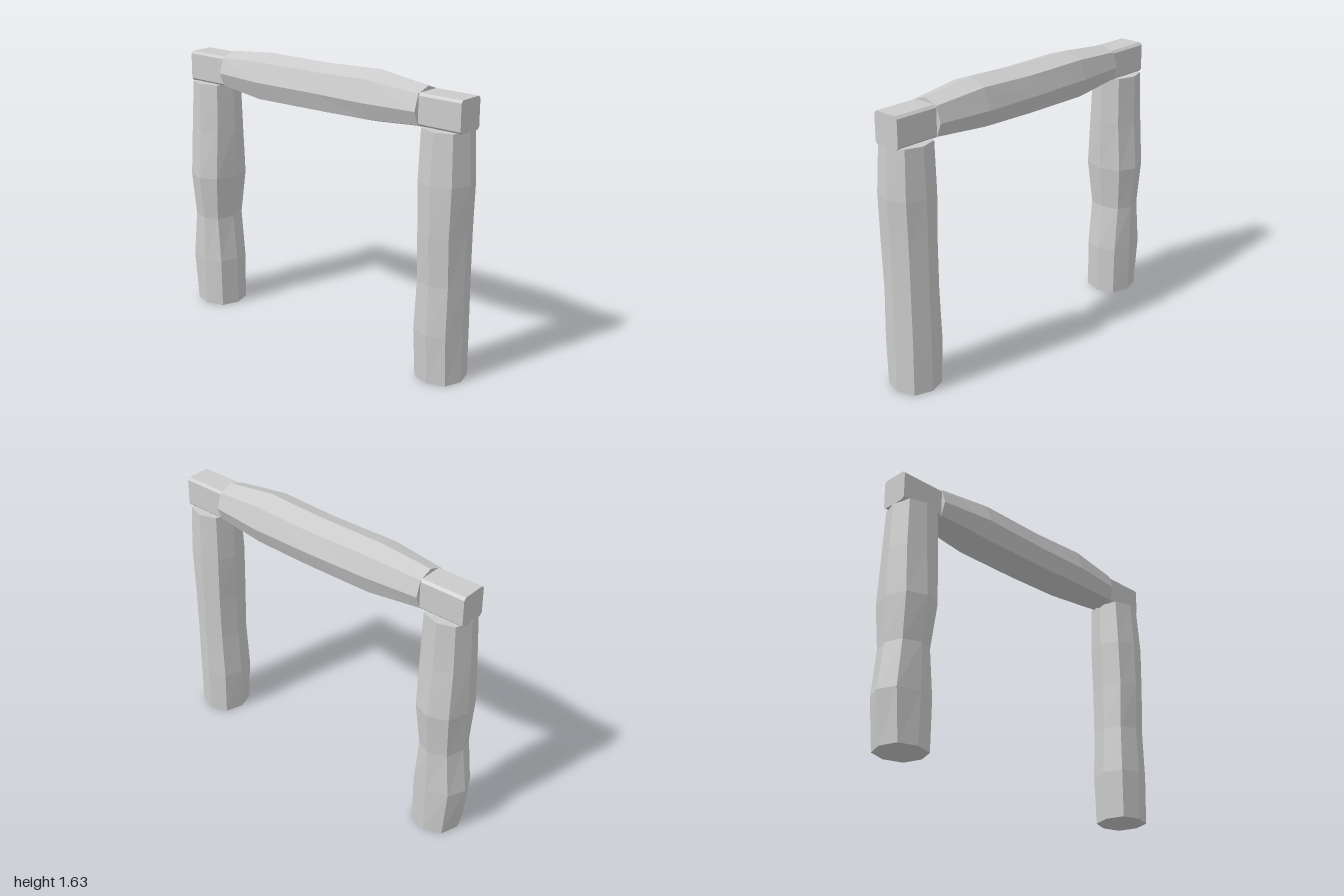
import * as THREE from 'three';

const material = new THREE.MeshStandardMaterial({ color: 0xcccccc, flatShading: true });
const SIDES = 8;

// Closed eight-sided loft. Each ring is [t, uMin, uMax, vMin, vMax];
// place(u, v, t) maps a section point into the model.
function loft(name, rings, vCentre, place) {
  const pos = [], idx = [];
  for (const [t, u0, u1, v0, v1] of rings) {
    for (let i = 0; i < SIDES; i++) {
      const a = (i / SIDES) * Math.PI * 2, c = Math.cos(a), s = Math.sin(a);
      const k = i % 2 ? 1.06 : 1; // slightly full corners, like hewn timber
      const u = k * (c > 0 ? c * u1 : -c * u0);
      const v = vCentre + k * (s > 0 ? s * (v1 - vCentre) : -s * (v0 - vCentre));
      pos.push(...place(u, v, t));
    }
  }
  for (let r = 0; r < rings.length - 1; r++) {
    for (let i = 0; i < SIDES; i++) {
      const a = r * SIDES + i, b = r * SIDES + (i + 1) % SIDES;
      const c = a + SIDES, d = b + SIDES;
      idx.push(b, a, c, b, c, d);
    }
  }
  // End caps
  const e = (rings.length - 1) * SIDES;
  for (let i = 1; i < SIDES - 1; i++) idx.push(0, i, i + 1, e, e + i + 1, e + i);
  const indexed = new THREE.BufferGeometry();
  indexed.setAttribute('position', new THREE.Float32BufferAttribute(pos, 3));
  indexed.setIndex(idx);
  const geo = indexed.toNonIndexed();
  geo.computeVertexNormals();
  const mesh = new THREE.Mesh(geo, material);
  mesh.name = name;
  return mesh;
}

// Squared beam end with small chamfers, running from z0 to z1
function tenon(name, z0, z1) {
  const w = 0.083, y0 = 1.387, y1 = 1.563, b = 0.014;
  const shape = new THREE.Shape([
    [-w + b, y0], [w - b, y0], [w, y0 + b], [w, y1 - b],
    [w - b, y1], [-w + b, y1], [-w, y1 - b], [-w, y0 + b],
  ].map(([x, y]) => new THREE.Vector2(x, y)));
  const geo = new THREE.ExtrudeGeometry(shape, { depth: z1 - z0, bevelEnabled: false });
  geo.translate(0, 0, z0);
  const mesh = new THREE.Mesh(geo, material);
  mesh.name = name;
  return mesh;
}

export function createModel() {
  const group = new THREE.Group();
  group.name = 'timberFrame';
  const upright = (u, v, t) => [u, t, v];
  const lengthwise = (u, v, t) => [u, v, t];

  // Posts, from the ground up
  group.add(loft('frontPost', [
    [0, -0.135, 0.14, 0.72, 0.99],
    [0.28, -0.148, 0.143, 0.708, 0.988],
    [0.56, -0.138, 0.14, 0.722, 0.988],
    [0.83, -0.152, 0.14, 0.724, 0.99],
    [1.11, -0.152, 0.14, 0.715, 1.0],
    [1.39, -0.135, 0.13, 0.72, 0.985],
  ], 0.855, upright));
  group.add(loft('rearPost', [
    [0, -0.135, 0.137, -0.968, -0.69],
    [0.29, -0.14, 0.14, -1.0, -0.69],
    [0.56, -0.135, 0.137, -0.965, -0.72],
    [0.82, -0.165, 0.163, -0.976, -0.69],
    [1.11, -0.145, 0.14, -0.97, -0.685],
    [1.39, -0.133, 0.13, -0.955, -0.69],
  ], -0.83, upright));

  // Beam, from front to rear
  group.add(loft('beam', [
    [0.72, -0.115, 0.112, 1.37, 1.587],
    [0.4, -0.145, 0.145, 1.345, 1.63],
    [0.05, -0.14, 0.147, 1.336, 1.615],
    [-0.37, -0.15, 0.137, 1.332, 1.615],
    [-0.685, -0.112, 0.11, 1.37, 1.587],
  ], 1.47, lengthwise));

  // Squared beam ends resting on the posts
  group.add(tenon('frontBeamEnd', 0.71, 0.983));
  group.add(tenon('rearBeamEnd', -0.952, -0.675));
  return group;
}
